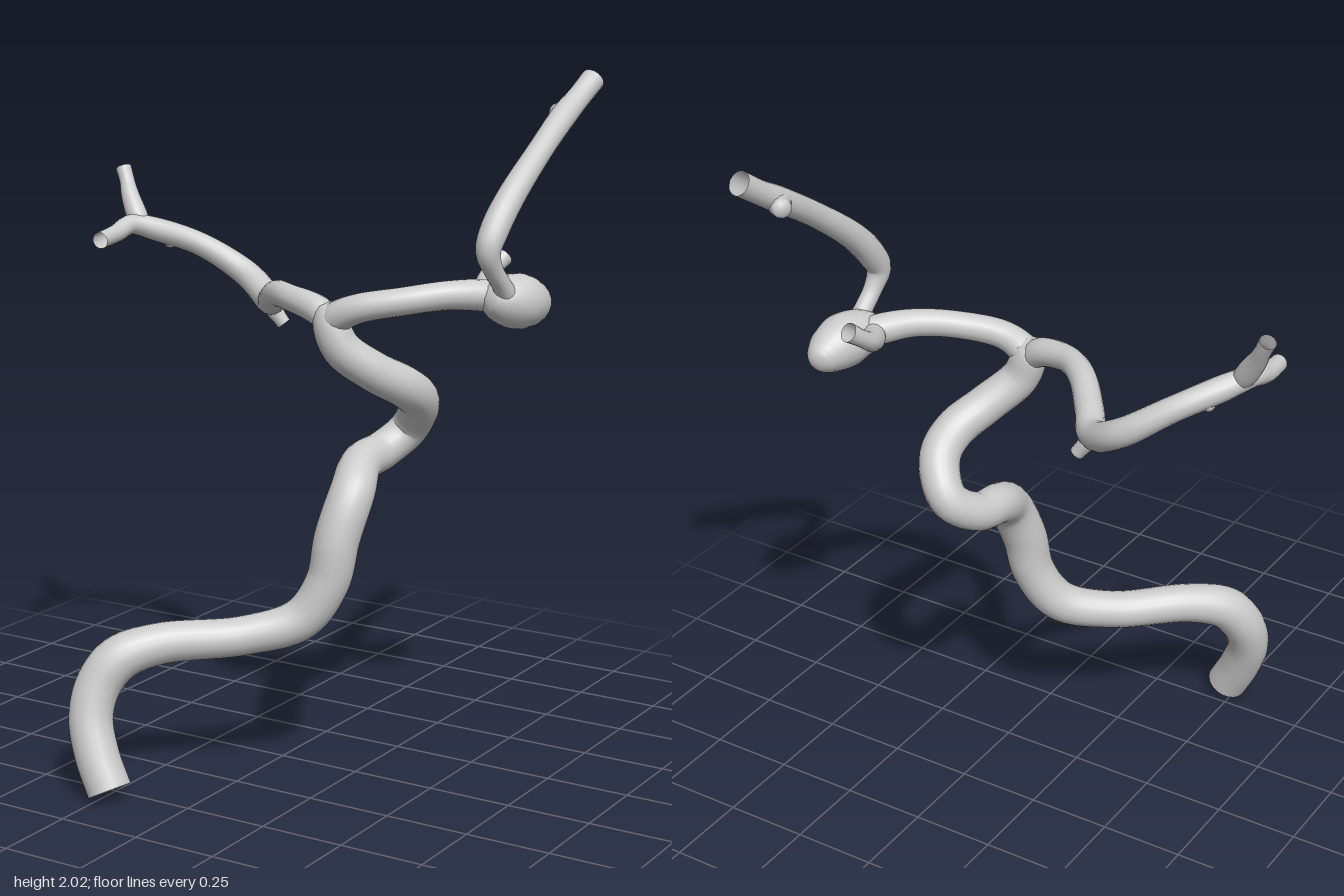
import * as THREE from 'three';
import { mergeVertices } from 'three/addons/utils/BufferGeometryUtils.js';

const material = new THREE.MeshStandardMaterial({ color: 0xcccccc, side: THREE.DoubleSide });

// Tube through points [x, y, z, radius]; the radius varies smoothly along the path
function vessel(name, points, segments, sides = 16) {
  const curve = new THREE.CatmullRomCurve3(points.map(([x, y, z]) => new THREE.Vector3(x, y, z)));
  const radii = new THREE.SplineCurve(points.map((p, i) => new THREE.Vector2(i, p[3])));
  const tube = new THREE.TubeGeometry(curve, segments, 1, sides);
  const pos = tube.attributes.position;
  const v = new THREE.Vector3();
  for (let i = 0; i <= segments; i++) {
    const centre = curve.getPointAt(i / segments);
    const r = Math.max(0, radii.getPoint(curve.getUtoTmapping(i / segments)).y);
    for (let j = 0; j <= sides; j++) {
      const k = i * (sides + 1) + j;
      v.fromBufferAttribute(pos, k).sub(centre).multiplyScalar(r).add(centre);
      pos.setXYZ(k, v.x, v.y, v.z);
    }
  }
  // weld the seam so the shading is continuous
  tube.deleteAttribute('uv');
  tube.deleteAttribute('normal');
  const geometry = mergeVertices(tube, 1e-5);
  geometry.computeVertexNormals();
  const mesh = new THREE.Mesh(geometry, material);
  mesh.name = name;
  return mesh;
}

export function createModel() {
  const group = new THREE.Group();
  group.name = 'artery';
  group.add(
    // thick winding trunk, from the open lower end up to the fork
    vessel('trunk', [
      [-0.22, 0.015, 0.57, 0.064], [-0.27, 0.11, 0.56, 0.064], [-0.304, 0.21, 0.54, 0.064],
      [-0.3, 0.3, 0.505, 0.066], [-0.26, 0.37, 0.46, 0.066], [-0.18, 0.405, 0.38, 0.06],
      [0, 0.415, 0.21, 0.057], [0.13, 0.46, 0.11, 0.062], [0.195, 0.57, 0.07, 0.064],
      [0.215, 0.7, 0.05, 0.067], [0.23, 0.82, -0.005, 0.066], [0.205, 0.885, -0.1, 0.06],
      [0.215, 0.905, -0.2, 0.057], [0.265, 0.965, -0.268, 0.057], [0.325, 1.06, -0.22, 0.06],
      [0.325, 1.115, -0.14, 0.06], [0.275, 1.17, -0.05, 0.058], [0.205, 1.245, 0.022, 0.056],
      [0.178, 1.32, 0.032, 0.052], [0.175, 1.36, 0.025, 0.035], [0.175, 1.375, 0.022, 0],
    ], 130, 20),
    // branch to the model's right
    vessel('rightBranch', [
      [0.19, 1.29, 0.03, 0.035], [0.14, 1.34, 0.025, 0.042], [0.02, 1.365, -0.01, 0.038],
      [-0.07, 1.36, -0.08, 0.039], [-0.145, 1.325, -0.17, 0.041], [-0.205, 1.305, -0.25, 0.042],
      [-0.32, 1.365, -0.305, 0.041], [-0.45, 1.45, -0.255, 0.036], [-0.55, 1.5, -0.165, 0.036],
      [-0.6, 1.52, -0.1, 0.03], [-0.607, 1.5, -0.03, 0.027], [-0.6, 1.49, 0.06, 0.025],
    ], 80),
    vessel('rightBranchTip', [
      [-0.575, 1.505, -0.13, 0.025], [-0.605, 1.545, -0.135, 0.032], [-0.645, 1.605, -0.155, 0.027],
      [-0.665, 1.64, -0.17, 0.023], [-0.685, 1.678, -0.18, 0.024],
    ], 20),
    vessel('rightBranchStub', [
      [-0.21, 1.305, -0.24, 0.03], [-0.18, 1.265, -0.25, 0.024], [-0.158, 1.235, -0.257, 0.021],
    ], 10, 12),
    vessel('rightBranchBump', [
      [-0.51, 1.49, -0.2, 0.03], [-0.525, 1.465, -0.2, 0.023], [-0.54, 1.45, -0.195, 0.012],
      [-0.542, 1.447, -0.195, 0],
    ], 10, 12),
    // branch to the model's left
    vessel('leftBranch', [
      [0.16, 1.29, 0.03, 0.035], [0.19, 1.325, 0.035, 0.045], [0.26, 1.36, 0.033, 0.042],
      [0.38, 1.385, -0.02, 0.04], [0.48, 1.4, -0.1, 0.041], [0.55, 1.395, -0.18, 0.045],
      [0.6, 1.38, -0.24, 0.04],
    ], 45),
    // swollen sac at the end of the left branch
    vessel('sac', [
      [0.57, 1.395, -0.14, 0], [0.575, 1.393, -0.15, 0.035], [0.595, 1.385, -0.19, 0.065],
      [0.617, 1.375, -0.25, 0.079], [0.625, 1.365, -0.31, 0.068], [0.622, 1.36, -0.36, 0.045],
      [0.618, 1.358, -0.381, 0.022], [0.617, 1.357, -0.385, 0],
    ], 40, 20),
    vessel('sacStub', [
      [0.555, 1.39, -0.2, 0.035], [0.52, 1.4, -0.25, 0.035], [0.498, 1.42, -0.295, 0.028],
      [0.498, 1.447, -0.335, 0.025], [0.51, 1.478, -0.375, 0.028],
    ], 20),
    // long branch rising up and back
    vessel('risingBranch', [
      [0.62, 1.38, -0.2, 0.035], [0.62, 1.43, -0.155, 0.028], [0.614, 1.48, -0.112, 0.028],
      [0.608, 1.535, -0.088, 0.036], [0.612, 1.59, -0.115, 0.041], [0.622, 1.67, -0.185, 0.04],
      [0.637, 1.79, -0.335, 0.036], [0.645, 1.88, -0.47, 0.037], [0.655, 1.925, -0.54, 0.034],
      [0.667, 1.972, -0.605, 0.035],
    ], 55),
    vessel('risingBranchBump', [
      [0.64, 1.88, -0.48, 0.035], [0.615, 1.88, -0.505, 0.03], [0.594, 1.882, -0.52, 0.024],
      [0.587, 1.882, -0.525, 0],
    ], 12, 12),
  );
  return group;
}
